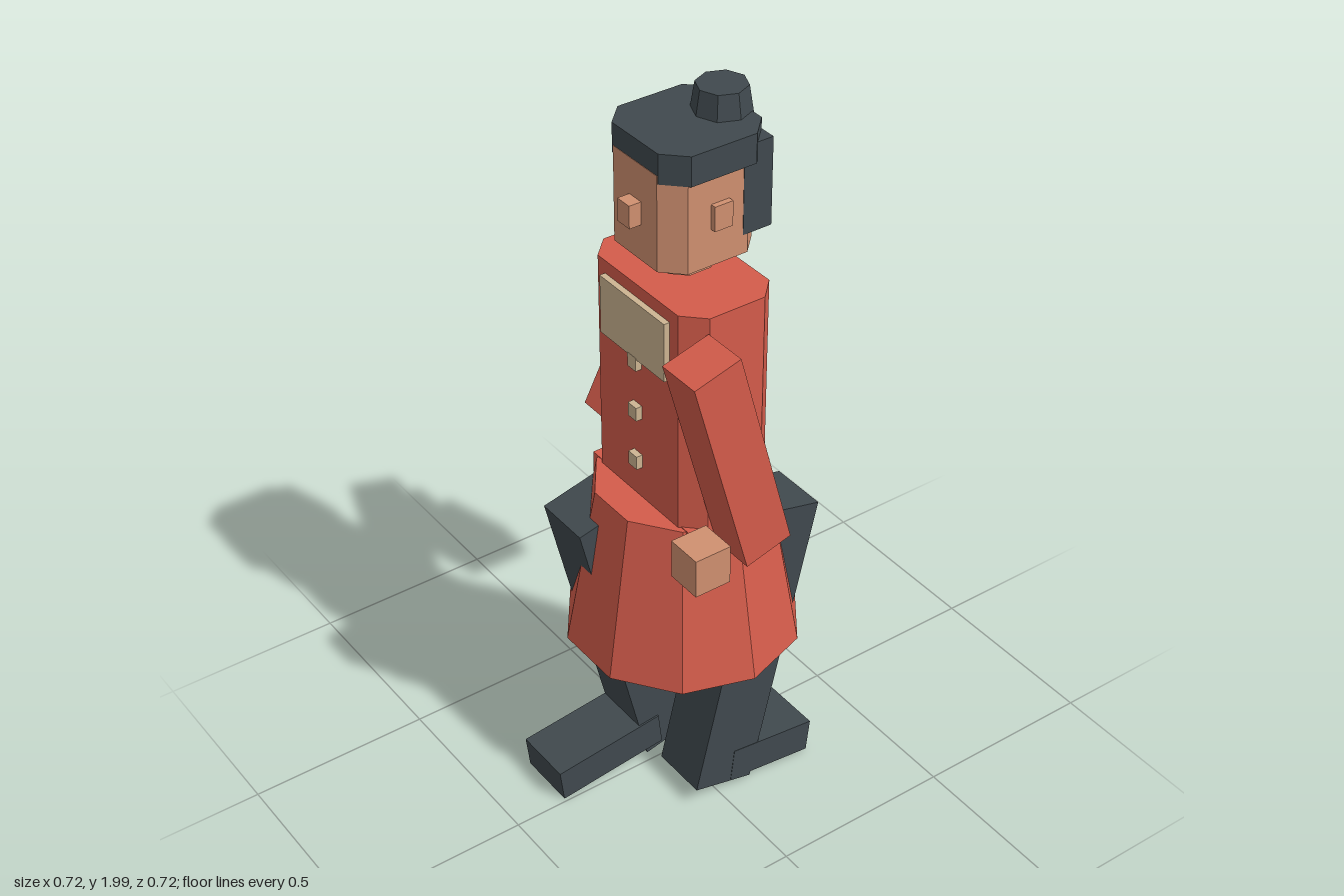
import * as THREE from 'three';

const material = (name, color) => {
  const m = new THREE.MeshStandardMaterial({ color });
  m.name = name;
  return m;
};

export function createModel() {
  const red = material('red cloth', 0xd45c4b);
  const skin = material('skin', 0xd09070);
  const tan = material('tan trim', 0xcdb592);
  const dark = material('charcoal', 0x40494e);
  const model = new THREE.Group();
  model.name = 'coatedFigure';
  const midX = 0.022;

  const add = (name, geometry, mat, x, y, z, tilt = 0, parent = model) => {
    const mesh = new THREE.Mesh(geometry, mat);
    mesh.name = name;
    mesh.position.set(x, y, z);
    mesh.rotation.x = tilt;
    parent.add(mesh);
    return mesh;
  };

  // Box given by its limits on each axis
  const block = (name, mat, [x0, x1], [y0, y1], [z0, z1]) =>
    add(name, new THREE.BoxGeometry(x1 - x0, y1 - y0, z1 - z0), mat,
      (x0 + x1) / 2, (y0 + y1) / 2, (z0 + z1) / 2);

  // Upright prism with its four vertical corners cut off
  const prism = (name, mat, [x0, x1], [y0, y1], [z0, z1], cut) => {
    const w = (x1 - x0) / 2, d = (z1 - z0) / 2;
    const shape = new THREE.Shape([
      [w, cut - d], [w, d - cut], [w - cut, d], [cut - w, d],
      [-w, d - cut], [-w, cut - d], [cut - w, -d], [w - cut, -d],
    ].map(([x, y]) => new THREE.Vector2(x, y)));
    const geometry = new THREE.ExtrudeGeometry(shape, { depth: y1 - y0, bevelEnabled: false });
    geometry.rotateX(-Math.PI / 2);
    return add(name, geometry, mat, (x0 + x1) / 2, y0, (z0 + z1) / 2);
  };

  // Facetted cone section with flat faces
  const frustum = (rTop, rBottom, height, sides) =>
    new THREE.CylinderGeometry(rTop, rBottom, height, sides).toNonIndexed();
  const flat = (geometry) => {
    geometry.computeVertexNormals();
    return geometry;
  };

  // Coat: torso, hips whose corners poke out of the skirt, and skirt
  prism('torso', red, [-0.192, 0.235], [0.9, 1.55], [-0.143, 0.118], 0.052);
  block('hips', red, [-0.188, 0.23], [0.65, 0.942], [-0.138, 0.112]);
  const skirt = add('skirt', flat(frustum(0.228, 0.31, 0.45, 10)), red, midX, 0.715, -0.014);
  skirt.rotation.y = Math.PI / 10;

  // Chest panel and buttons
  block('chestPanel', tan, [-0.11, 0.15], [1.355, 1.515], [0.112, 0.134]);
  for (const y of [1.34, 1.195, 1.05])
    block('button', tan, [0.002, 0.036], [y - 0.019, y + 0.019], [0.112, 0.135]);

  // Head
  prism('neck', skin, [-0.045, 0.086], [1.57, 1.635], [-0.082, 0.05], 0.035);
  prism('head', skin, [-0.113, 0.157], [1.63, 1.88], [-0.147, 0.122], 0.05);
  block('nose', skin, [0, 0.046], [1.725, 1.785], [0.1, 0.155]);
  for (const side of [-1, 1])
    block('ear', skin, side < 0 ? [-0.13, -0.1] : [0.14, 0.172], [1.727, 1.792], [-0.043, 0.008]);

  // Hair
  prism('hairCap', dark, [-0.121, 0.164], [1.86, 1.937], [-0.166, 0.121], 0.053);
  block('backHair', dark, [-0.115, 0.158], [1.68, 1.91], [-0.164, -0.083]);
  add('bun', flat(frustum(0.063, 0.077, 0.09, 8)), dark, midX, 1.955, -0.12);

  // Arms swing in opposite directions
  const sleeve = new THREE.BoxGeometry(0.124, 0.6, 0.135);
  add('leftArm', sleeve, red, 0.297, 1.203, 0.055, 0.27);
  add('rightArm', sleeve, red, -0.253, 1.23, -0.148, -0.48);
  block('leftHand', skin, [0.245, 0.345], [0.86, 0.968], [0.08, 0.182]);
  block('rightHand', skin, [-0.32, -0.214], [0.912, 1.02], [-0.34, -0.232]);

  // Carried bag with a tan top and two sticks standing in it
  block('bag', [skin, skin, tan, skin, skin, skin], [-0.36, -0.218], [0.91, 1.167], [-0.357, -0.168]);
  const stick = new THREE.BoxGeometry(0.075, 0.22, 0.058);
  add('stick', stick, skin, -0.307, 1.213, -0.3, -0.14);
  add('stick', stick, skin, -0.28, 1.19, -0.265, 0.25);

  // Legs: the left one is the right one turned about the body's axis
  for (const side of ['right', 'left']) {
    const leg = new THREE.Group();
    leg.name = side + 'Leg';
    leg.position.set(midX - 0.002, 0, -0.011);
    leg.rotation.y = side === 'left' ? Math.PI : 0;
    add('trouser', new THREE.BoxGeometry(0.16, 0.855, 0.18), dark, -0.115, 0.455, 0.097, 0.233, leg);
    add('foot', new THREE.BoxGeometry(0.166, 0.095, 0.32), dark, -0.113, 0.071, 0.205, 0.115, leg);
    model.add(leg);
  }
  // The rear foot is the shorter one
  const rearFoot = model.getObjectByName('leftLeg').getObjectByName('foot');
  rearFoot.scale.z = 0.8;
  rearFoot.position.z = 0.155;

  return model;
}
